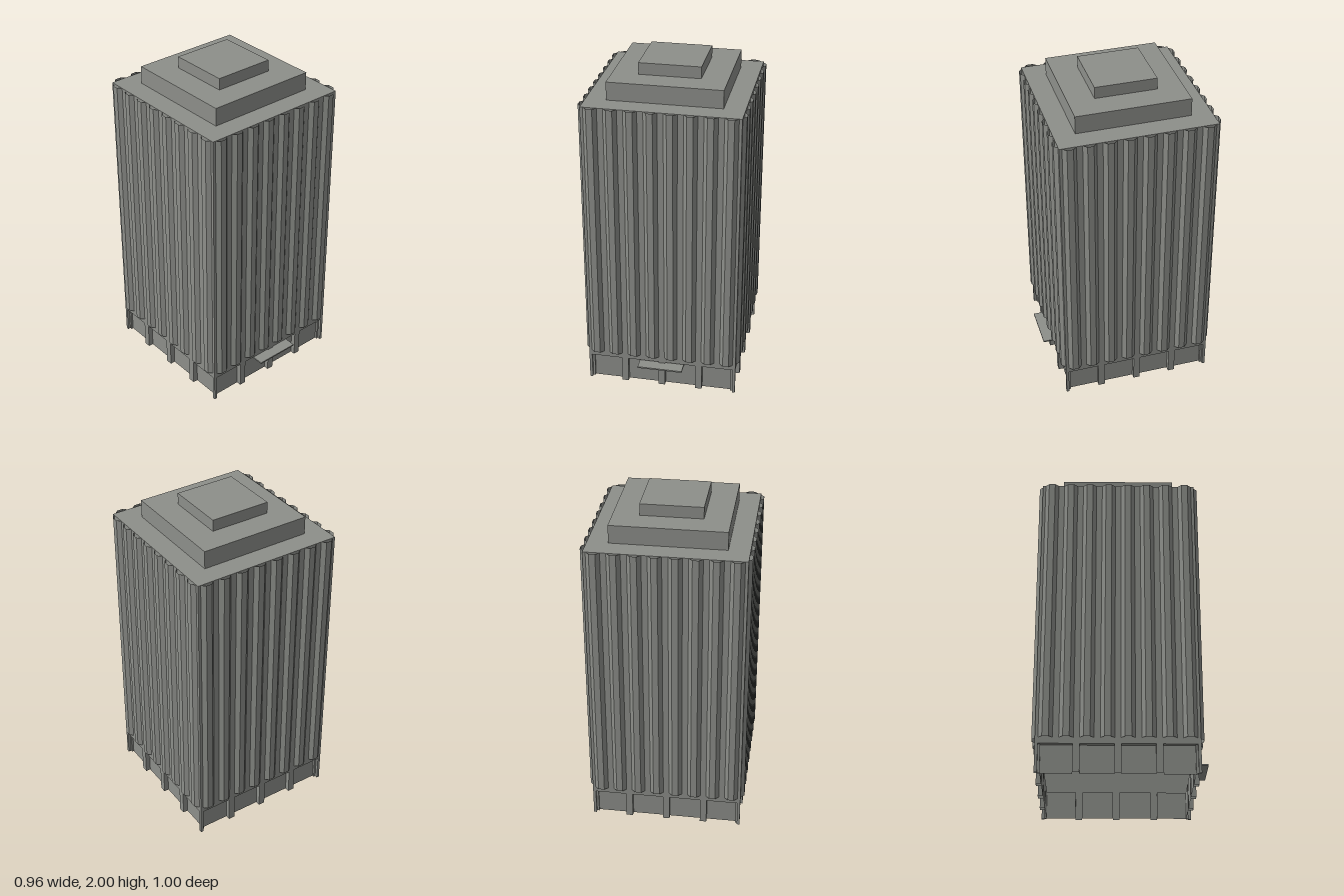
import * as THREE from 'three';

const HALF = 0.457;      // half width of the tower
const CENTER_Z = -0.023; // tower sits slightly back because of the canopy
const BASE_Y = 0.2, ROOF_Y = 1.82;
const WINDOW_TOP = 0.165, WINDOW_HALF = 0.095, RECESS = 0.03;

// Vertical faceted strip following [x, z] points, facing +z when points run along +x
function strip(points, y0, y1) {
  const pos = [];
  for (let i = 0; i < points.length - 1; i++) {
    const [ax, az] = points[i], [bx, bz] = points[i + 1];
    pos.push(ax, y0, az, bx, y0, bz, bx, y1, bz, ax, y0, az, bx, y1, bz, ax, y1, az);
  }
  const g = new THREE.BufferGeometry();
  g.setAttribute('position', new THREE.Float32BufferAttribute(pos, 3));
  g.computeVertexNormals();
  return g;
}

export function createModel() {
  const concrete = new THREE.MeshStandardMaterial({ color: 0x8d8f8a, side: THREE.DoubleSide });
  concrete.name = 'concrete grey';
  const model = new THREE.Group();
  model.name = 'officeTower';

  function add(parent, name, geometry, x = 0, y = 0, z = 0) {
    const mesh = new THREE.Mesh(geometry, concrete);
    mesh.name = name;
    mesh.position.set(x, y, z);
    parent.add(mesh);
    return mesh;
  }

  const windowCenters = [-0.345, -0.115, 0.115, 0.345];

  // Wall outline with window openings reaching down to the ground
  const outline = new THREE.Shape();
  outline.moveTo(-HALF, 0);
  for (const c of windowCenters) {
    outline.lineTo(c - WINDOW_HALF, 0);
    outline.lineTo(c - WINDOW_HALF, WINDOW_TOP);
    outline.lineTo(c + WINDOW_HALF, WINDOW_TOP);
    outline.lineTo(c + WINDOW_HALF, 0);
  }
  outline.lineTo(HALF, 0);
  outline.lineTo(HALF, ROOF_Y);
  outline.lineTo(-HALF, ROOF_Y);
  const wallGeometry = new THREE.ShapeGeometry(outline);

  const recessGeometry = strip(
    [[-WINDOW_HALF, 0], [-WINDOW_HALF, -RECESS], [WINDOW_HALF, -RECESS], [WINDOW_HALF, 0]], 0, WINDOW_TOP);
  const lintelGeometry = new THREE.PlaneGeometry(WINDOW_HALF * 2, RECESS).rotateX(Math.PI / 2);
  // Angled bay, open at both ends
  const bayGeometry = strip([[-0.04, 0], [-0.018, 0.021], [0.018, 0.021], [0.04, 0]], BASE_Y, ROOF_Y);

  // Four identical facades
  ['front', 'left', 'back', 'right'].forEach((side, i) => {
    const facade = new THREE.Group();
    facade.name = side + 'Facade';
    facade.position.z = CENTER_Z;
    facade.rotation.y = i * Math.PI / 2;
    add(facade, 'wall', wallGeometry, 0, 0, HALF);
    for (const c of windowCenters) {
      add(facade, 'windowRecess', recessGeometry, c, 0, HALF);
      add(facade, 'windowLintel', lintelGeometry, c, WINDOW_TOP, HALF - RECESS / 2);
    }
    for (let b = 0; b < 8; b++) {
      add(facade, 'bay', bayGeometry, (b - 3.5) * HALF / 4, 0, HALF);
    }
    model.add(facade);
  });

  // Roof and stepped top
  add(model, 'roof', new THREE.PlaneGeometry(HALF * 2, HALF * 2).rotateX(-Math.PI / 2), 0, ROOF_Y, CENTER_Z);
  add(model, 'lowerRoofTier', new THREE.BoxGeometry(0.67, 0.108, 0.67), 0, 1.876, CENTER_Z);
  add(model, 'upperRoofTier', new THREE.BoxGeometry(0.364, 0.07, 0.364), 0, 1.965, CENTER_Z);

  // Entrance canopy
  add(model, 'entranceCanopy', new THREE.BoxGeometry(0.274, 0.009, 0.096), 0, 0.154, 0.452);

  return model;
}
